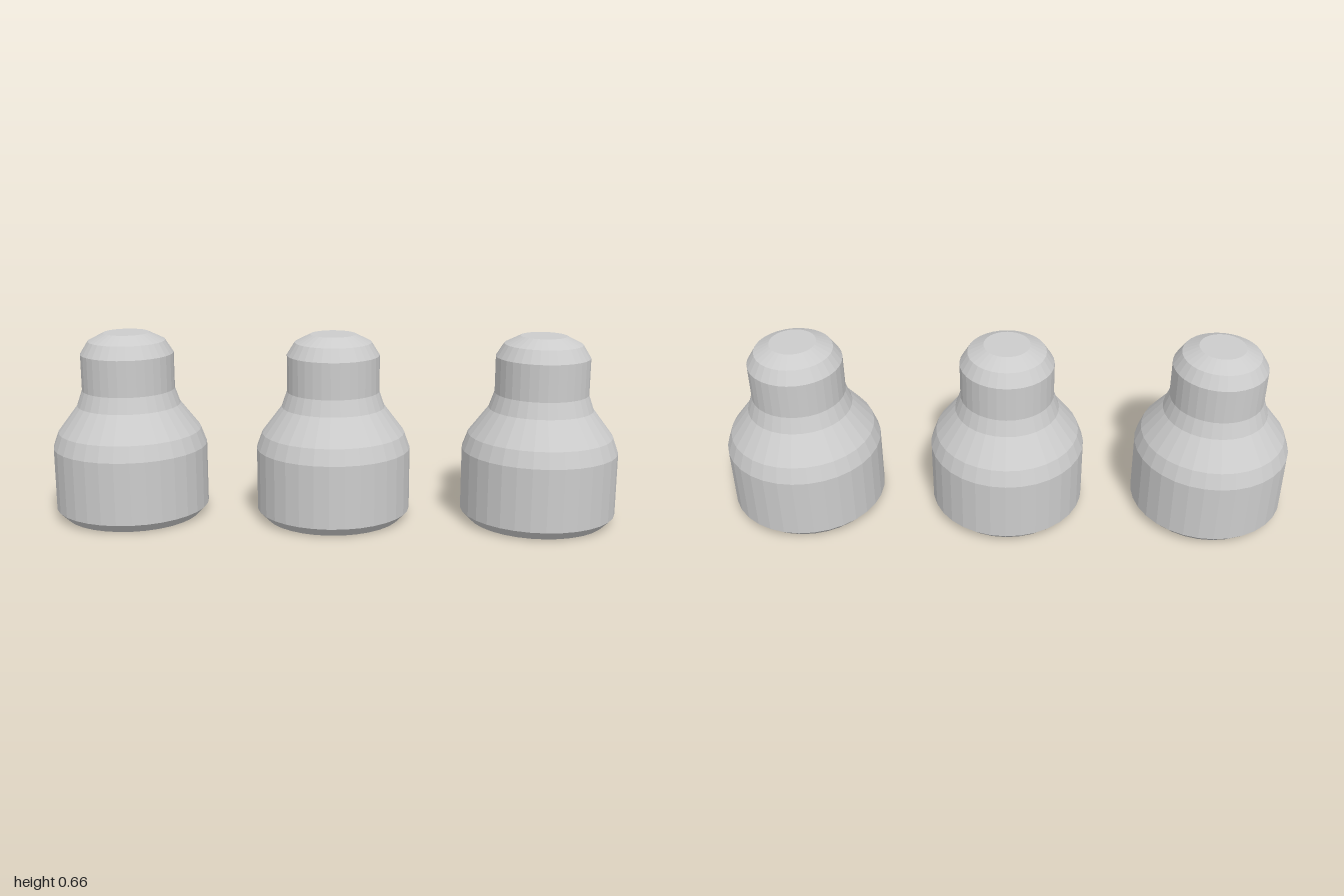
import * as THREE from 'three';

const SIDES = 32;

// Radius and height from the centre of the base to the centre of the cap
const PROFILE = [
  [0, 0], [0.241, 0],            // flat base
  [0.272, 0.032], [0.272, 0.253], // bottom chamfer and body wall
  [0.252, 0.308], [0.182, 0.4],   // sloping shoulder
  [0.163, 0.455], [0.163, 0.583], // neck
  [0.135, 0.628], [0.08, 0.656],  // rounded cap
  [0, 0.656],
].map(([r, y]) => new THREE.Vector2(r, y));

export function createModel() {
  const group = new THREE.Group();
  group.name = 'bottleRow';
  const material = new THREE.MeshStandardMaterial({ color: 0xcccccc, flatShading: true });
  const geometry = new THREE.LatheGeometry(PROFILE, SIDES);

  // Three identical bottles in a row
  ['rightBottle', 'middleBottle', 'leftBottle'].forEach((name, i) => {
    const bottle = new THREE.Mesh(geometry, material);
    bottle.name = name;
    bottle.position.x = (i - 1) * 0.728;
    group.add(bottle);
  });
  return group;
}
